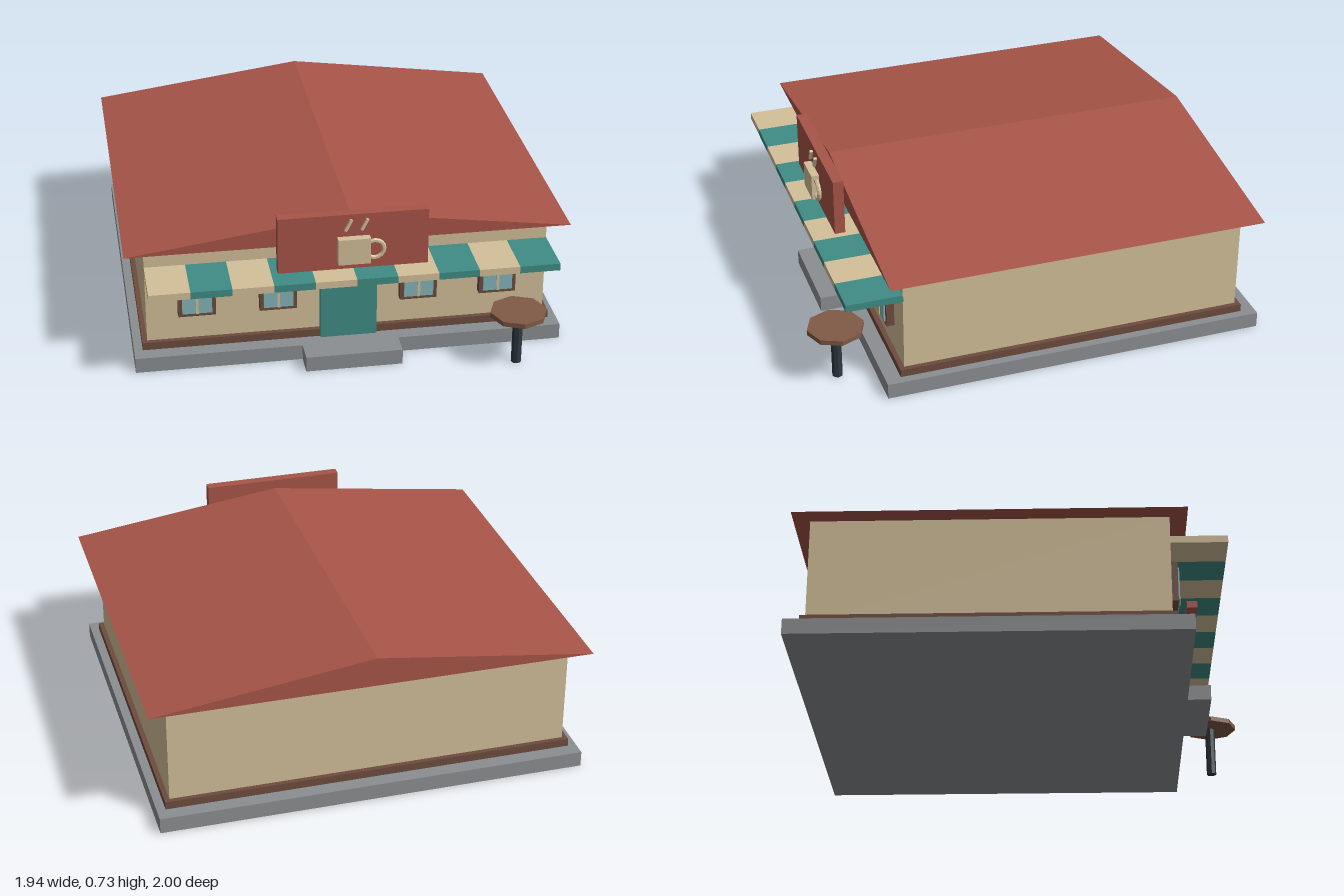
import * as THREE from 'three';

const RED = 0xa85548, TAN = 0xd4c09a, TEAL = 0x3f8d85, BROWN = 0x6e4c3e;
const GREY = 0x8c8f92, GLASS = 0x84b6bb, WOOD = 0x805b46, IRON = 0x2e3840;

const materials = {};
function mat(color) {
  return materials[color] ??= new THREE.MeshStandardMaterial({ color, flatShading: true });
}

function add(parent, name, geometry, color, x = 0, y = 0, z = 0) {
  const mesh = new THREE.Mesh(geometry, mat(color));
  mesh.name = name;
  mesh.position.set(x, y, z);
  parent.add(mesh);
  return mesh;
}

// Box given by its extents along each axis
function box(parent, name, color, [x0, x1], [y0, y1], [z0, z1]) {
  return add(parent, name, new THREE.BoxGeometry(x1 - x0, y1 - y0, z1 - z0), color,
    (x0 + x1) / 2, (y0 + y1) / 2, (z0 + z1) / 2);
}

function group(parent, name, x = 0, y = 0, z = 0) {
  const g = new THREE.Group();
  g.name = name;
  g.position.set(x, y, z);
  parent.add(g);
  return g;
}

export function createModel() {
  const cafe = new THREE.Group();
  cafe.name = 'cafe';

  // Paved base with entrance step
  box(cafe, 'baseSlab', GREY, [-0.945, 0.945], [0, 0.07], [-1, 0.715]);
  box(cafe, 'entranceStep', GREY, [-0.213, 0.213], [0, 0.07], [0.715, 0.82]);

  // Walls and skirting
  box(cafe, 'walls', TAN, [-0.885, 0.885], [0.07, 0.56], [-0.913, 0.625]);
  box(cafe, 'skirting', BROWN, [-0.907, 0.907], [0.07, 0.105], [-0.935, 0.647]);

  // Low gabled roof running front to back
  const gable = new THREE.Shape([
    new THREE.Vector2(-0.972, 0.56), new THREE.Vector2(0.972, 0.56), new THREE.Vector2(0, 0.692),
  ]);
  add(cafe, 'roof', new THREE.ExtrudeGeometry(gable, { depth: 1.685, bevelEnabled: false }),
    RED, 0, 0, -0.985);

  // Door
  box(cafe, 'door', TEAL, [-0.125, 0.125], [0.07, 0.435], [0.62, 0.66]);

  // Windows, two on each side of the door
  for (const x of [-0.665, -0.31, 0.31, 0.665]) {
    const win = group(cafe, 'window', x, 0.323, 0);
    box(win, 'windowFrame', BROWN, [-0.082, 0.082], [-0.094, 0.094], [0.62, 0.66]);
    box(win, 'windowGlass', GLASS, [-0.065, 0.065], [-0.078, 0.074], [0.64, 0.667]);
    box(win, 'windowBar', TAN, [-0.006, 0.006], [-0.078, 0.074], [0.65, 0.671]);
  }

  // Striped awning
  const awning = group(cafe, 'awning');
  const w = 0.177;
  for (let i = 0; i < 10; i++) {
    const x = -0.885 + i * w;
    box(awning, 'awningStripe', i % 2 ? TEAL : TAN, [x, x + w], [0.435, 0.467], [0.622, 0.87]);
  }

  // Sign board with a cup, handle and steam
  const sign = group(cafe, 'sign');
  box(sign, 'signBoard', RED, [-0.325, 0.325], [0.404, 0.725], [0.72, 0.767]);
  box(sign, 'cup', TAN, [-0.07, 0.07], [0.503, 0.622], [0.765, 0.802]);
  add(sign, 'cupHandle', new THREE.TorusGeometry(0.041, 0.01, 6, 16), TAN, 0.089, 0.562, 0.783);
  for (const x of [-0.024, 0.046]) {
    const steam = add(sign, 'steam', new THREE.BoxGeometry(0.012, 0.056, 0.014), TAN, x, 0.68, 0.778);
    steam.rotation.z = -0.48;
  }

  // Outdoor table
  const table = group(cafe, 'table', 0.708, 0, 0.875);
  add(table, 'tableTop', new THREE.CylinderGeometry(0.125, 0.125, 0.022, 8), WOOD, 0, 0.245, 0);
  add(table, 'tableLeg', new THREE.CylinderGeometry(0.023, 0.023, 0.235, 8), IRON, 0, 0.1175, 0);

  return cafe;
}
